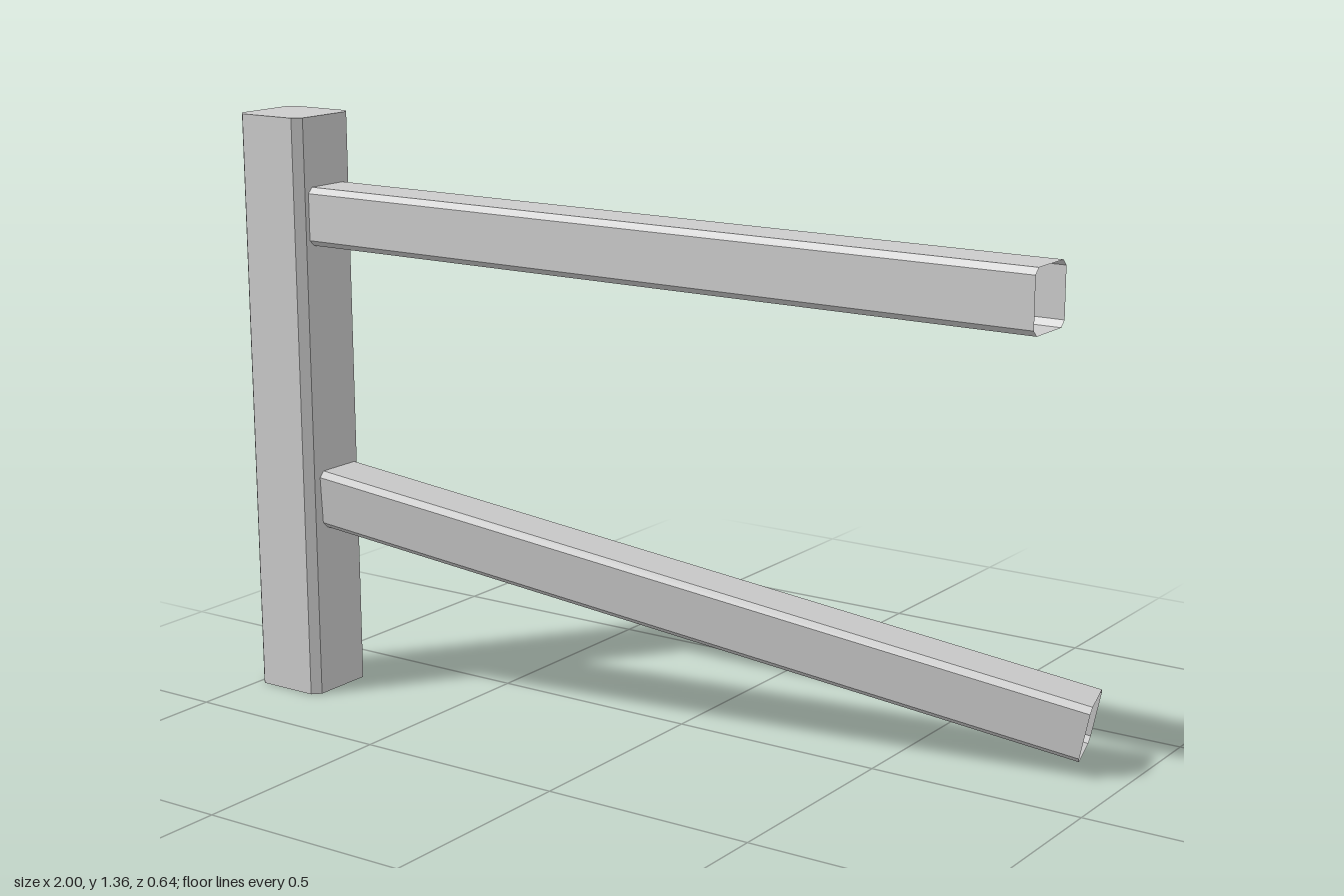
import * as THREE from 'three';

const material = new THREE.MeshStandardMaterial({
  color: 0xcccccc, flatShading: true, side: THREE.DoubleSide,
});

// Square section with chamfered corners, in the local (y, z) plane
function section(height, depth, chamfer) {
  const y = height / 2, z = depth / 2, c = chamfer;
  return [
    [y, -z + c], [y, z - c], [y - c, z], [-y + c, z],
    [-y, z - c], [-y, -z + c], [-y + c, -z], [y - c, -z],
  ];
}

// Thin-walled tube running along +x from x = 0; the far end may be capped
function tube(name, length, height, depth, chamfer, capped = false) {
  const pts = section(height, depth, chamfer);
  const pos = [];
  pts.forEach(([y0, z0], i) => {
    const [y1, z1] = pts[(i + 1) % pts.length];
    pos.push(0, y0, z0, 0, y1, z1, length, y1, z1);
    pos.push(0, y0, z0, length, y1, z1, length, y0, z0);
    if (capped) pos.push(length, 0, 0, length, y0, z0, length, y1, z1);
  });
  const geometry = new THREE.BufferGeometry();
  geometry.setAttribute('position', new THREE.Float32BufferAttribute(pos, 3));
  geometry.computeVertexNormals();
  const mesh = new THREE.Mesh(geometry, material);
  mesh.name = name;
  return mesh;
}

export function createModel() {
  const group = new THREE.Group();
  group.name = 'postWithRails';
  const centreZ = 0.23;

  // Upright post, closed on top and open below
  const post = tube('post', 1.355, 0.183, 0.183, 0.018, true);
  post.rotation.z = Math.PI / 2;
  post.position.set(-0.908, 0, centreZ);

  // Level upper rail, open at its free end
  const rail = tube('upperRail', 1.825, 0.133, 0.13, 0.013);
  rail.position.set(-0.825, 1.13, centreZ - 0.003);

  // Lower rail, dropping 12 degrees and swung 15 degrees backwards
  const lowerLength = 1.857;
  const lower = tube('lowerRail', lowerLength, 0.133, 0.13, 0.013);
  lower.rotation.set(0, THREE.MathUtils.degToRad(15), THREE.MathUtils.degToRad(-12), 'ZYX');
  const direction = new THREE.Vector3(1, 0, 0).applyEuler(lower.rotation);
  lower.position.set(0.895, 0.103, -0.254).addScaledVector(direction, -lowerLength);

  group.add(post, rail, lower);
  return group;
}
